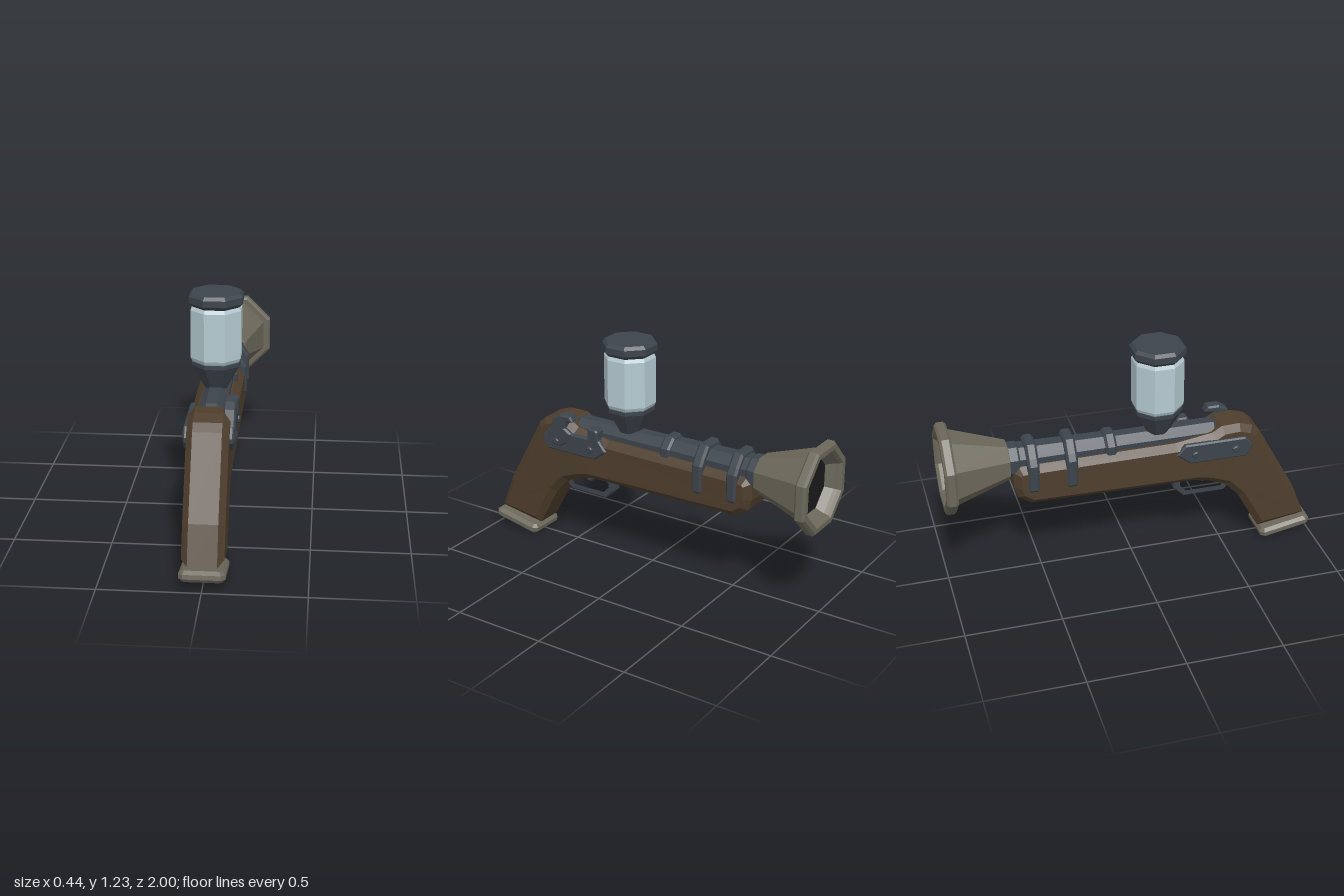
import * as THREE from 'three';

const material = (name, color) => {
  const m = new THREE.MeshStandardMaterial({ color });
  m.name = name;
  return m;
};

export function createModel() {
  const model = new THREE.Group();
  model.name = 'blunderbuss';

  const wood = material('dark wood', 0x4e3e2d);
  const metal = material('blue steel', 0x3d444c);
  const brass = material('dull brass', 0x6b675a);
  const glass = material('pale glass', 0xb5cbd2);
  const bore = material('bore black', 0x1a1a1a);

  const add = (name, geometry, mat, x = 0, y = 0, z = 0) => {
    const mesh = new THREE.Mesh(geometry, mat);
    mesh.name = name;
    mesh.position.set(x, y, z);
    model.add(mesh);
    return mesh;
  };

  const polygon = (points) => new THREE.Shape(points.map(([a, b]) => new THREE.Vector2(a, b)));

  // Bevelled slab, centred on its thickness and keeping the given outline
  const slab = (shape, thickness, bevel) => {
    const g = new THREE.ExtrudeGeometry(shape, {
      depth: thickness - 2 * bevel, bevelEnabled: true, bevelSegments: 1,
      bevelSize: bevel, bevelThickness: bevel, bevelOffset: -bevel, curveSegments: 8,
    });
    return g.translate(0, 0, bevel - thickness / 2);
  };

  // Slab whose outline is given as (z, y) and whose thickness runs along x
  const sideSlab = (shape, thickness, bevel) => slab(shape, thickness, bevel).rotateY(-Math.PI / 2);

  // Faceted eight-sided turning; radii are measured to the flats
  const turned = (profile) => {
    const k = 1 / Math.cos(Math.PI / 8);
    const pts = profile.map(([r, h]) => new THREE.Vector2(r * k, h));
    const g = new THREE.LatheGeometry(pts, 8, Math.PI / 8).toNonIndexed();
    g.computeVertexNormals();
    return g;
  };
  // The same, lying along the barrel with height measured towards the muzzle
  const turnedAlong = (profile) => turned(profile).rotateX(-Math.PI / 2);

  // Stock: one side profile, slightly slimmer at the grip
  const stock = sideSlab(polygon([
    [0.965, 0.12], [0.89, 0.31], [0.68, 0.69], [0.64, 0.725], [0.57, 0.747], [0.47, 0.745],
    [0.42, 0.715], [0.22, 0.685], [-0.61, 0.68], [-0.64, 0.65], [-0.64, 0.56], [-0.62, 0.50],
    [-0.555, 0.455], [0.33, 0.44], [0.40, 0.425], [0.50, 0.385], [0.58, 0.30], [0.70, 0.08],
  ]), 0.228, 0.035);
  const pos = stock.attributes.position;
  for (let i = 0; i < pos.count; i++) {
    const t = THREE.MathUtils.smoothstep(pos.getZ(i), 0.3, 0.6);
    pos.setX(i, pos.getX(i) * (1 - 0.1 * t));
  }
  stock.computeVertexNormals();
  add('stock', stock, wood);

  // Butt plate: tilted rectangle with clipped corners
  const w = 0.112, l = 0.143, c = 0.022;
  const butt = slab(polygon([
    [-w + c, -l], [w - c, -l], [w, -l + c], [w, l - c],
    [w - c, l], [-w + c, l], [-w, l - c], [-w, -l + c],
  ]), 0.056, 0.017).rotateX(-Math.PI / 2 - 0.187);
  add('buttPlate', butt, brass, 0, 0.058, 0.853);

  // Barrel, breech and collars
  const axis = 0.683;
  add('breech', turnedAlong([[0, -0.46], [0.055, -0.46], [0.067, -0.44], [0.067, 0.12], [0, 0.12]]), metal, 0, axis);
  add('barrel', turnedAlong([[0, 0.11], [0.072, 0.11], [0.08, 0.6], [0.086, 0.61], [0.086, 0.66], [0, 0.66]]), metal, 0, axis);
  add('barrelCollar', turnedAlong([
    [0.065, 0.095], [0.078, 0.095], [0.088, 0.107], [0.088, 0.143], [0.078, 0.155], [0.065, 0.155],
  ]), metal, 0, axis);

  // Two straps over the barrel and down the sides of the stock
  for (const z of [-0.34, -0.54]) {
    const strap = polygon([
      [-0.108, 0.53], [0.108, 0.53], [0.124, 0.55], [0.124, 0.69], [0.102, 0.725],
      [0.055, 0.785], [-0.055, 0.785], [-0.102, 0.725], [-0.124, 0.69], [-0.124, 0.55],
    ]);
    add('barrelStrap', slab(strap, 0.06, 0.012), metal, 0, 0, z);
  }

  // Flared muzzle with a rim and a dark bore
  add('muzzleBell', turnedAlong([
    [0.07, 0.648], [0.097, 0.655], [0.184, 0.94], [0.208, 0.94], [0.22, 0.952], [0.22, 0.988],
    [0.208, 1], [0.182, 1], [0.17, 0.985], [0.165, 0.965], [0.142, 0.92],
  ]), brass, 0, axis);
  add('bore', turnedAlong([[0.145, 0.922], [0, 0.922]]), bore, 0, axis);

  // Powder jar standing on the breech
  const jarZ = 0.14;
  add('jarFunnel', turned([[0, 0.735], [0.055, 0.735], [0.12, 0.86], [0.12, 0.88], [0, 0.88]]), metal, 0, 0, jarZ);
  add('jarGlass', turned([
    [0.112, 0.878], [0.118, 0.885], [0.126, 0.902], [0.126, 1.148], [0.115, 1.17], [0, 1.17],
  ]), glass, 0, 0, jarZ);
  add('jarLid', turned([
    [0, 1.167], [0.118, 1.167], [0.134, 1.185], [0.134, 1.218], [0.12, 1.235], [0, 1.235],
  ]), metal, 0, 0, jarZ);

  // Lock plates with bolts, mirrored on both sides
  const plate = polygon([
    [0.63, 0.64], [0.63, 0.615], [0.595, 0.57], [0.29, 0.57],
    [0.215, 0.63], [0.26, 0.685], [0.59, 0.685],
  ]);
  for (const side of [-1, 1]) {
    add('lockPlate', sideSlab(plate, 0.03, 0.008), metal, side * 0.108);
    for (const z of [0.535, 0.315]) {
      const bolt = turned([[0.018, -0.01], [0.018, 0.007], [0.012, 0.012], [0, 0.012]]);
      add('lockBolt', bolt, metal, side * 0.122, 0.625, z).rotation.z = -side * Math.PI / 2;
    }
  }

  // Hammer and striking block on the left side
  add('hammer', sideSlab(polygon([
    [0.595, 0.61], [0.585, 0.68], [0.55, 0.76], [0.505, 0.785], [0.44, 0.785], [0.425, 0.755],
    [0.47, 0.745], [0.478, 0.71], [0.435, 0.685], [0.46, 0.63], [0.51, 0.597],
  ]), 0.062, 0.009), metal, 0.097);
  add('strikingBlock', sideSlab(polygon([
    [0.335, 0.67], [0.335, 0.73], [0.325, 0.742], [0.28, 0.742], [0.268, 0.73], [0.268, 0.67],
  ]), 0.062, 0.008), metal, 0.093);

  // Trigger guard loop and trigger
  const guard = polygon([
    [0.555, 0.385], [0.54, 0.345], [0.51, 0.315], [0.285, 0.315],
    [0.23, 0.37], [0.23, 0.42], [0.27, 0.45], [0.5, 0.45],
  ]);
  guard.holes.push(new THREE.Path([
    [0.51, 0.37], [0.495, 0.342], [0.295, 0.342], [0.257, 0.38], [0.257, 0.408], [0.28, 0.425], [0.48, 0.425],
  ].map(([z, y]) => new THREE.Vector2(z, y))));
  add('triggerGuard', sideSlab(guard, 0.06, 0.007), metal);
  add('trigger', sideSlab(polygon([
    [0.43, 0.45], [0.425, 0.395], [0.41, 0.382], [0.39, 0.382], [0.375, 0.4], [0.37, 0.45],
  ]), 0.04, 0.008), metal);

  return model;
}
